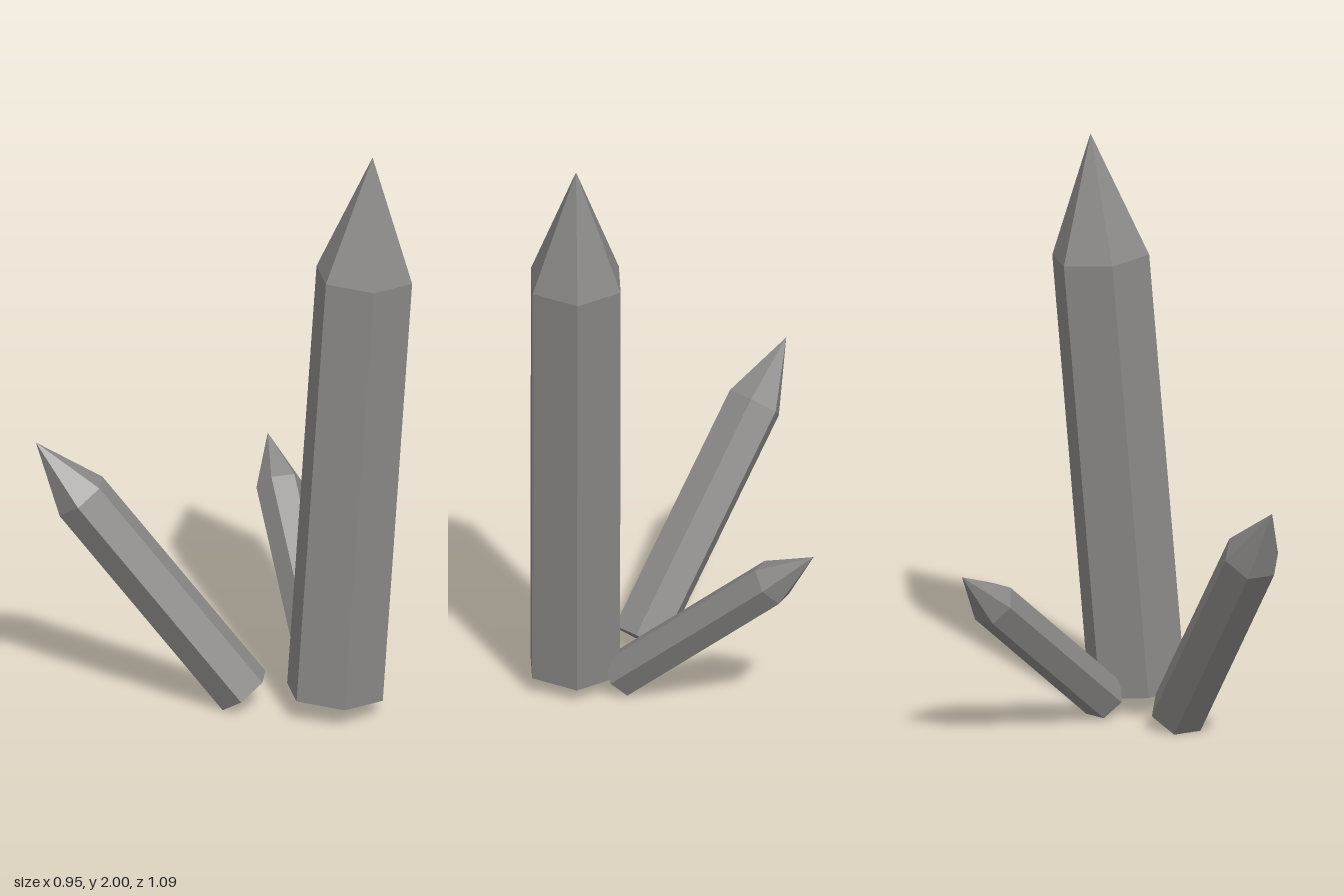
import * as THREE from 'three';

const stone = new THREE.MeshStandardMaterial({ color: 0x8a8886, flatShading: true });
stone.name = 'grey stone';

// Six-sided crystal: base and shoulder are ring centres, corner points at one edge of the prism
function crystal(name, base, shoulder, tip, radius, corner) {
  const a = new THREE.Vector3(...base);
  const axis = new THREE.Vector3(...tip).sub(a);
  const total = axis.length();
  axis.normalize();
  const height = new THREE.Vector3(...shoulder).sub(a).dot(axis);

  const shaft = new THREE.Mesh(new THREE.CylinderGeometry(radius, radius, height, 6), stone);
  shaft.name = name + 'Shaft';
  shaft.position.y = height / 2;

  const point = new THREE.Mesh(new THREE.ConeGeometry(radius, total - height, 6, 1, true), stone);
  point.name = name + 'Point';
  point.position.y = (height + total) / 2;

  // Lean along the axis, with a prism edge turned towards the corner direction
  const z = new THREE.Vector3(...corner).projectOnPlane(axis).normalize();
  const x = new THREE.Vector3().crossVectors(axis, z);
  const group = new THREE.Group();
  group.name = name;
  group.add(shaft, point);
  group.quaternion.setFromRotationMatrix(new THREE.Matrix4().makeBasis(x, axis, z));
  group.position.copy(a);
  return group;
}

export function createModel() {
  const model = new THREE.Group();
  model.name = 'crystalCluster';
  model.add(
    crystal('tallCrystal', [0.32, 0.062, -0.16], [0.323, 1.575, -0.287], [0.323, 2, -0.325], 0.172, [0, 0, 1]),
    crystal('middleCrystal', [0.095, 0.052, 0.053], [-0.305, 0.75, 0.433], [-0.42, 0.94, 0.54], 0.1, [0.7, 0, 0.725]),
    crystal('smallCrystal', [0.17, 0.058, -0.232], [-0.335, 0.515, -0.472], [-0.475, 0.64, -0.54], 0.081, [0.35, 0, -0.725])
  );
  return model;
}
